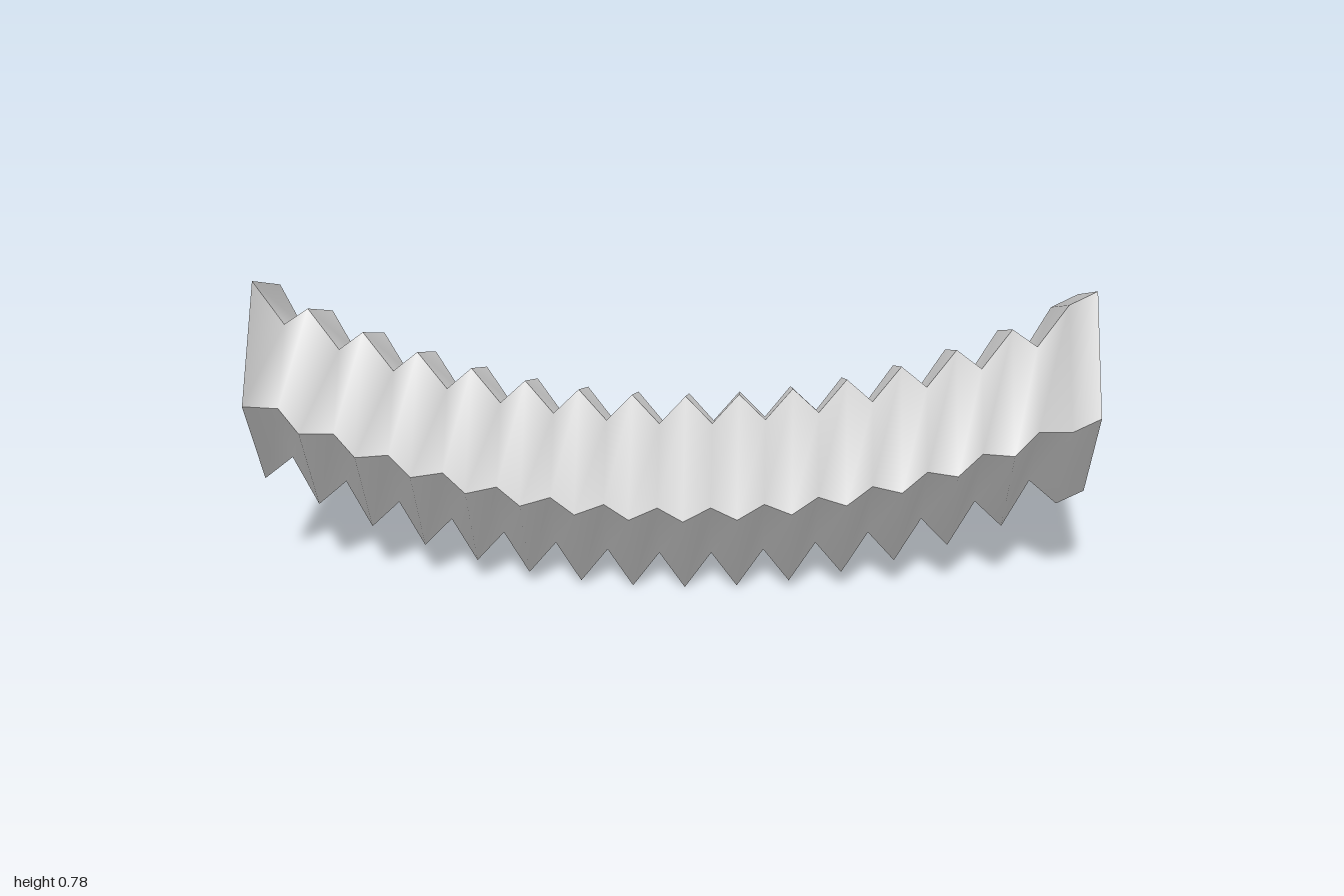
import * as THREE from 'three';

const SIDES = 5, RINGS = 32;
const OUTER = 0.265, INNER = 0.18, TWIST = THREE.MathUtils.degToRad(2.4);

// Point on a corner of a ring: large and small rings alternate along a sagging curve
function corner(ring, side) {
  const x = -1 + (2 * ring) / (RINGS - 1);
  const radius = ring % 2 === 0 || ring === RINGS - 1 ? OUTER : INNER;
  const a = TWIST + (side / SIDES) * Math.PI * 2;
  return [x, 0.2485 + 0.28 * x * x + radius * Math.sin(a), -0.02 + radius * Math.cos(a)];
}

// One pleated side: normals are smooth along its length, sharp at the corners
function pleatedSide(side) {
  const positions = [], index = [];
  for (let i = 0; i < RINGS; i++) {
    positions.push(...corner(i, side), ...corner(i, side + 1));
    if (i < RINGS - 1) {
      const a = i * 2;
      index.push(a, a + 2, a + 3, a, a + 3, a + 1);
    }
  }
  const geometry = new THREE.BufferGeometry();
  geometry.setAttribute('position', new THREE.Float32BufferAttribute(positions, 3));
  geometry.setIndex(index);
  geometry.computeVertexNormals();
  return geometry;
}

export function createModel() {
  const model = new THREE.Group();
  model.name = 'bellowsTube';
  const material = new THREE.MeshStandardMaterial({ color: 0xcccccc, side: THREE.DoubleSide });

  // Five pleated sides form a tube open at both ends
  for (let s = 0; s < SIDES; s++) {
    const mesh = new THREE.Mesh(pleatedSide(s), material);
    mesh.name = `pleatedSide${s + 1}`;
    model.add(mesh);
  }
  return model;
}
